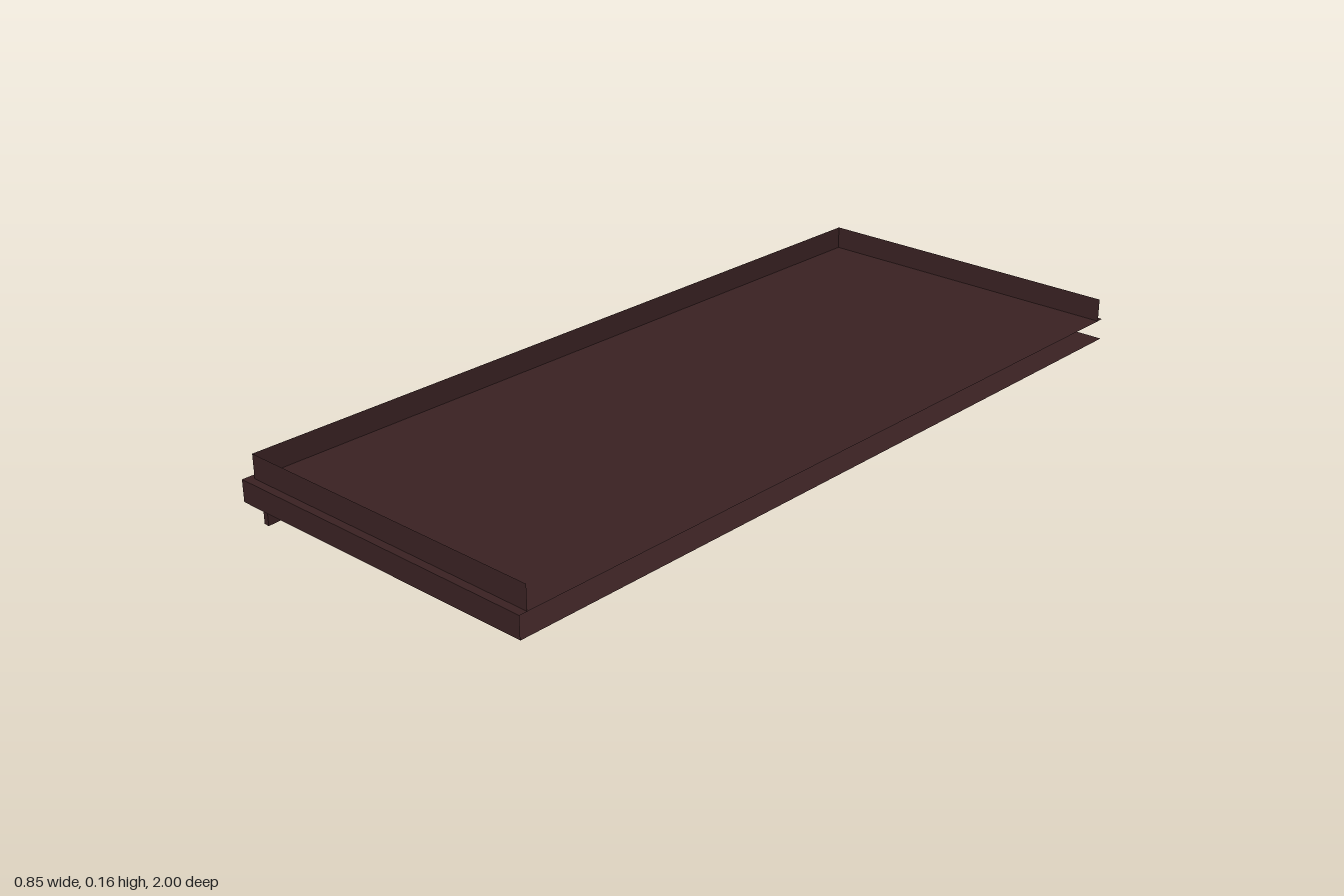
import * as THREE from 'three';

export function createModel() {
  const group = new THREE.Group();
  const darkWood = new THREE.MeshStandardMaterial({ color: 0x3a2223, side: THREE.DoubleSide });
  darkWood.name = 'darkWood';

  const add = (name, geometry) => {
    const mesh = new THREE.Mesh(geometry, darkWood);
    mesh.name = name;
    group.add(mesh);
    return mesh;
  };

  const X = 0.425, Z = 1, BOTTOM = 0.047, TOP = 0.1, RAIL_TOP = 0.158;
  const RAIL_X = -0.408, RAIL_Z = 0.98;

  // Sheet panels: horizontal, across x, and along z
  const sheet = (name, y) =>
    add(name, new THREE.PlaneGeometry(2 * X, 2 * Z).rotateX(-Math.PI / 2).translate(0, y, 0));
  const crossPanel = (name, x0, x1, y0, y1, z) => {
    const g = new THREE.PlaneGeometry(x1 - x0, y1 - y0);
    if (z < 0) g.rotateY(Math.PI);
    add(name, g.translate((x0 + x1) / 2, (y0 + y1) / 2, z));
  };
  const longPanel = (name, x, y0, y1, halfZ) =>
    add(name, new THREE.PlaneGeometry(2 * halfZ, y1 - y0)
      .rotateY(-Math.PI / 2).translate(x, (y0 + y1) / 2, 0));

  // Hollow shelf, open along +x
  sheet('topSheet', TOP);
  sheet('bottomSheet', BOTTOM);
  longPanel('shelfEdge', -X, BOTTOM, TOP, Z);
  crossPanel('frontEndWall', -X, X, BOTTOM, TOP, Z);
  crossPanel('backEndWall', -X, 0.235, BOTTOM, TOP, -Z); // stops short of the open side

  // Raised rails on three sides
  longPanel('longRail', RAIL_X, TOP, RAIL_TOP, RAIL_Z);
  crossPanel('frontRail', RAIL_X, X, TOP, RAIL_TOP, RAIL_Z);
  crossPanel('backRail', RAIL_X, X, TOP, RAIL_TOP, -RAIL_Z);

  // Scalloped valance hanging under the -x edge
  const shape = new THREE.Shape();
  shape.moveTo(-RAIL_Z, BOTTOM);
  const steps = 100;
  for (let i = 0; i <= steps; i++) {
    const z = -RAIL_Z + (2 * RAIL_Z * i) / steps;
    shape.lineTo(z, 0.016 + 0.016 * Math.cos((2 * Math.PI * z) / 0.39));
  }
  shape.lineTo(RAIL_Z, BOTTOM);
  shape.closePath();
  add('scallopedValance', new THREE.ExtrudeGeometry(shape, { depth: 0.014, bevelEnabled: false })
    .rotateY(-Math.PI / 2).translate(-0.374, 0, 0));

  return group;
}
